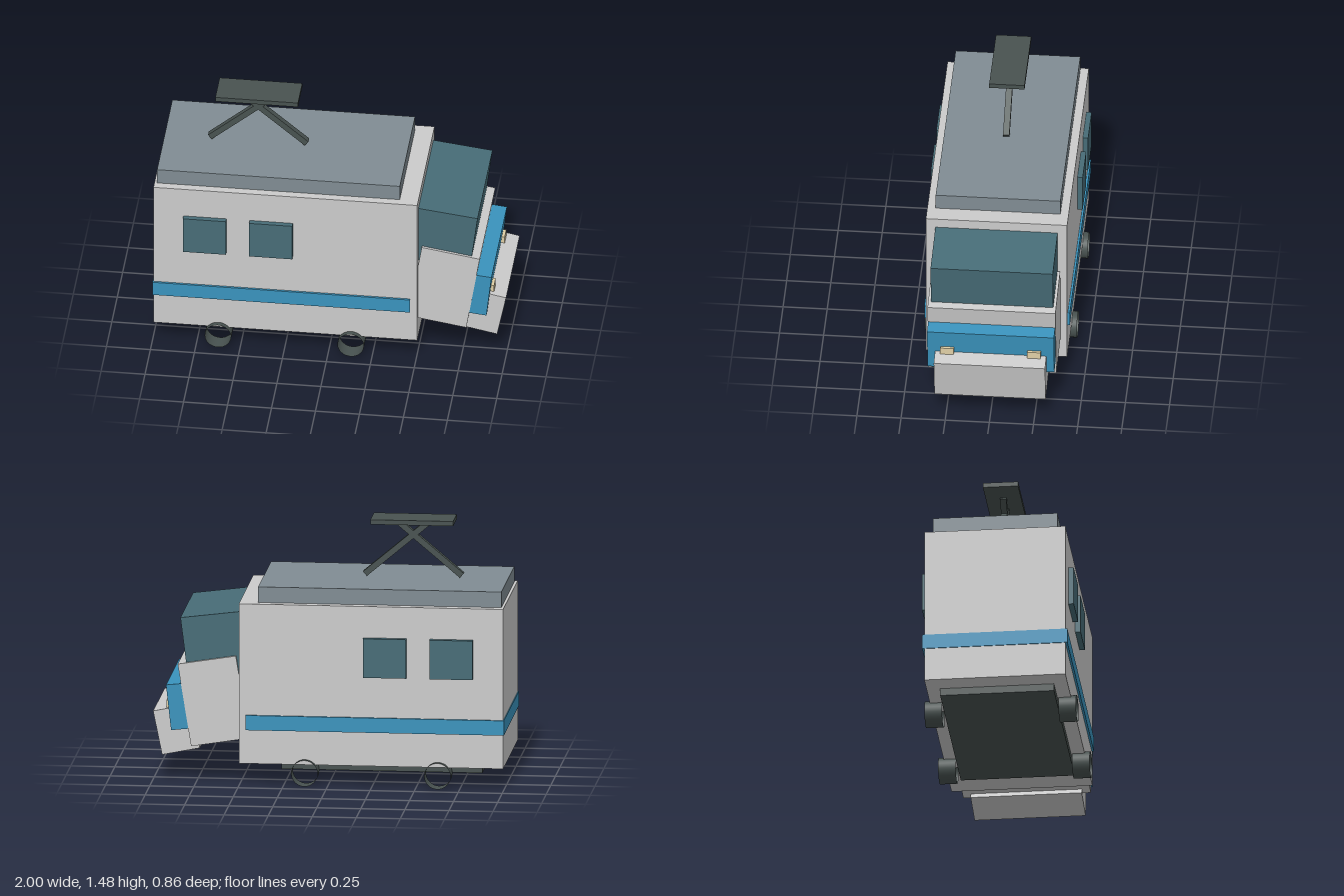
import * as THREE from 'three';

const mat = (color) => new THREE.MeshStandardMaterial({ color });

export function createModel() {
  const model = new THREE.Group();
  const grey = mat(0xcccccc), roofGrey = mat(0x808c93), glass = mat(0x476c77);
  const blue = mat(0x3a93bd), dark = mat(0x485250), cream = mat(0xdfcfa6);

  // Box from its centre and size, tilted about z
  const box = (name, material, [x, y, z], [w, h, d], tilt = 0) => {
    const mesh = new THREE.Mesh(new THREE.BoxGeometry(w, h, d), material);
    mesh.name = name;
    mesh.position.set(x, y, z);
    mesh.rotation.z = tilt;
    model.add(mesh);
    return mesh;
  };

  // Body, roof, floor and stripe
  box('body', grey, [-0.245, 0.58, 0], [1.5, 0.92, 0.8]);
  box('roof', roofGrey, [-0.29, 1.085, 0], [1.38, 0.09, 0.706]);
  box('underframe', dark, [-0.3, 0.1, 0], [1.14, 0.045, 0.646]);
  box('stripe', blue, [-0.2675, 0.357, 0], [1.465, 0.085, 0.824]);

  // Tilted nose parts
  box('windshield', glass, [0.645, 0.79, 0], [0.352, 0.35, 0.692], -0.125);
  box('nose', grey, [0.6525, 0.4675, 0], [0.334, 0.478, 0.724], -0.16);
  box('nosePanel', blue, [0.85, 0.431, 0], [0.116, 0.262, 0.718], -0.11);
  box('bumper', grey, [0.8675, 0.29, 0], [0.218, 0.256, 0.63], -0.2);

  // Side windows, headlights and open wheel rims on both sides
  const rim = new THREE.CylinderGeometry(0.075, 0.075, 0.1, 32, 1, true).rotateX(Math.PI / 2);
  const rimMaterial = dark.clone();
  rimMaterial.side = THREE.DoubleSide;
  for (const s of [-1, 1]) {
    for (const x of [-0.702, -0.325])
      box('sideWindow', glass, [x, 0.747, s * 0.405], [0.245, 0.225, 0.05]);
    box('headlight', cream, [0.905, 0.425, s * 0.246], [0.045, 0.05, 0.076]);
    for (const x of [-0.625, 0.13]) {
      const wheel = new THREE.Mesh(rim, rimMaterial);
      wheel.name = 'wheel';
      wheel.position.set(x, 0.075, s * 0.38);
      model.add(wheel);
    }
  }

  // Crossed current collector above the roof
  for (const s of [-1, 1])
    box('collectorArm', dark, [-0.446 + s * 0.095, 1.3, 0], [0.47, 0.034, 0.036], -s * 0.7);
  box('collectorPlate', dark, [-0.445, 1.464, 0], [0.47, 0.027, 0.2]);

  return model;
}
